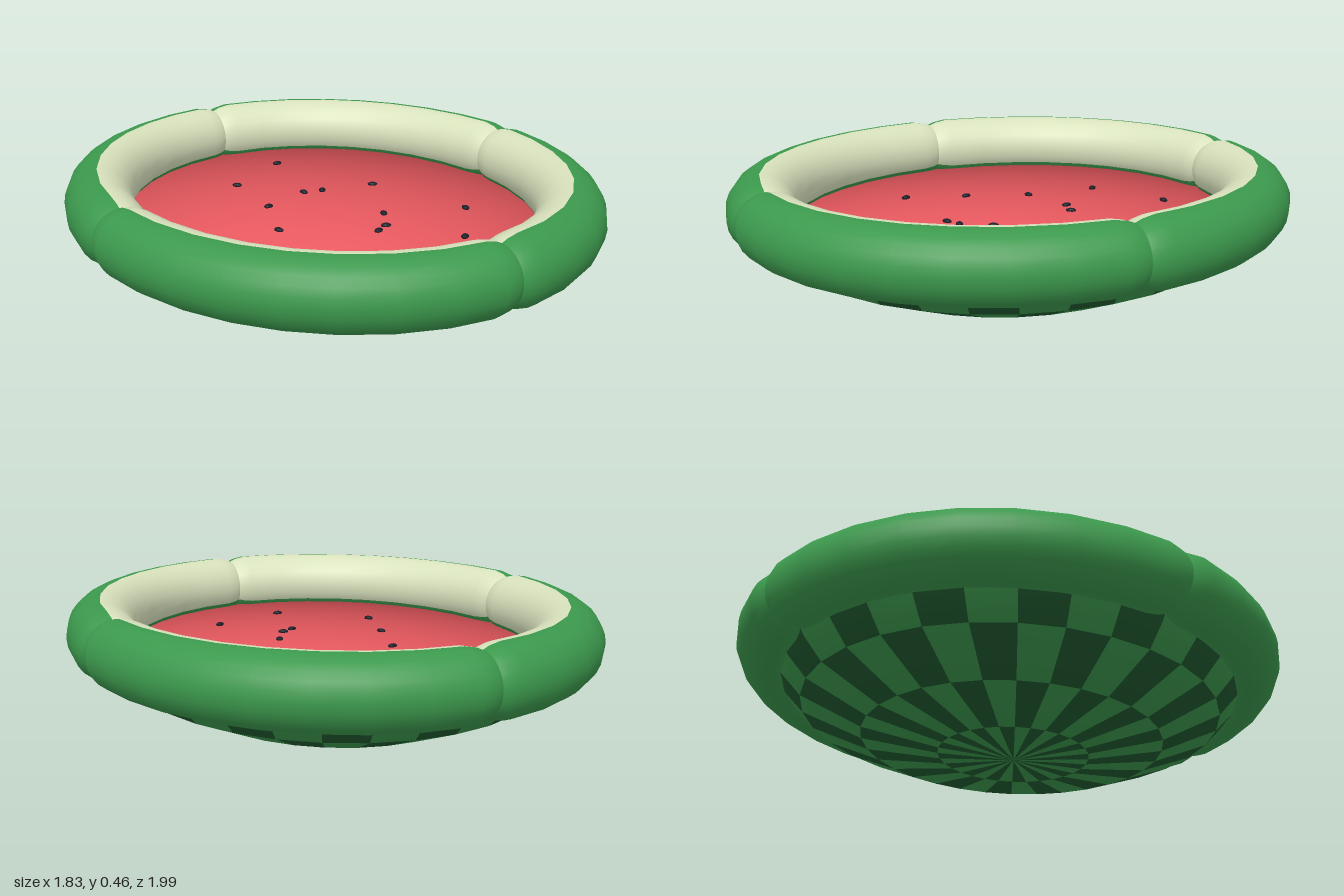
import * as THREE from 'three';

const mat = (name, color) => Object.assign(new THREE.MeshStandardMaterial({ color }), { name });

// Smooth grid surface; faceGroup(i, j) picks a material for each quad
function surface(cols, rows, wrapRows, point, faceGroup) {
  const pos = [], faces = [[], []];
  const stride = wrapRows ? rows : rows + 1;
  for (let i = 0; i <= cols; i++)
    for (let j = 0; j < stride; j++) pos.push(...point(i, j));
  for (let i = 0; i < cols; i++)
    for (let j = 0; j < rows; j++) {
      const k = (j + 1) % stride;
      const a = i * stride + j, b = i * stride + k, c = a + stride, d = b + stride;
      faces[faceGroup(i, j)].push(a, b, c, b, d, c);
    }
  const g = new THREE.BufferGeometry();
  g.setAttribute('position', new THREE.Float32BufferAttribute(pos, 3));
  g.setIndex([...faces[0], ...faces[1]]);
  g.addGroup(0, faces[0].length, 0);
  g.addGroup(faces[0].length, faces[1].length, 1);
  g.computeVertexNormals();
  return g;
}

export function createModel() {
  const root = new THREE.Group();
  root.name = 'melonPool';
  const green = mat('rind green', 0x3c994d);
  const dark = mat('stripe green', 0x20592f);
  const cream = mat('pale rind', 0xd9e2bd);
  const red = mat('melon red', 0xe8595f);
  const black = mat('seed black', 0x1c1e28);

  const add = (name, geometry, material) => {
    const m = new THREE.Mesh(geometry, material);
    m.name = name;
    root.add(m);
    return m;
  };

  // Inflated rim: four tube sections, pinched where they meet
  const RX = 0.798, RZ = 0.883, RY = 0.3375, R = 0.1175, SIDES = 24;
  const steps = [0, 1.5, 4.5, 14, 24.5, 35, 45, 55, 65.5, 76, 85.5, 88.5, 90];
  const pinch = (k) => [0.85, 0.93][Math.min(k, steps.length - 1 - k)] ?? 1;
  for (let q = 0; q < 4; q++) {
    const tube = surface(steps.length - 1, SIDES, true, (i, j) => {
      const t = THREE.MathUtils.degToRad(steps[i] + q * 90);
      const phi = (j / SIDES) * Math.PI * 2 - Math.PI / 6;
      const n = new THREE.Vector2(Math.sin(t) / RX, Math.cos(t) / RZ).normalize();
      const r = R * pinch(i), inward = r * Math.cos(phi);
      return [RX * Math.sin(t) - n.x * inward, RY + r * Math.sin(phi), RZ * Math.cos(t) - n.y * inward];
    }, (i, j) => (j < 8 ? 1 : 0)); // the inner third is pale
    add('rimSection' + (q + 1), tube, [green, cream]);
  }

  // Rounded rind underneath with stepped stripes
  const profile = [[0.79, 0.28], [0.755, 0.22], [0.695, 0.15], [0.5, 0.06], [0.25, 0.016], [0, 0]];
  const shift = [0, 0, 1, 0, 1];
  const SEG = 32;
  const bowl = surface(SEG, profile.length - 1, false, (i, j) => {
    const t = (i / SEG) * Math.PI * 2, [r, y] = profile[j];
    return [r * Math.sin(t), y, r * 1.107 * Math.cos(t)];
  }, (i, j) => (i + shift[j]) % 2);
  add('rindBowl', bowl, [green, dark]);

  // Flesh: a rounded cap pressed nearly flat, keeping its soft domed normals
  const flesh = new THREE.SphereGeometry(1, 48, 12, 0, Math.PI * 2, 0, 0.96);
  const p = flesh.attributes.position;
  for (let i = 0; i < p.count; i++)
    p.setXYZ(i, p.getX(i) * 0.93, 0.258 + p.getY(i) * 0.008, p.getZ(i) * 1.03);
  add('flesh', flesh, red);

  // Seeds scattered over the flesh
  const seeds = [
    [0.12, -0.57], [-0.15, -0.42], [0.02, -0.21], [0.09, -0.19], [-0.17, -0.15],
    [0.29, -0.14], [-0.26, 0.07], [0.135, 0.14], [0.02, 0.265], [0.07, 0.24],
    [-0.335, 0.285], [0.415, 0.26], [0.23, 0.47], [-0.06, 0.55],
  ];
  const seedGeo = new THREE.SphereGeometry(1, 10, 6).scale(0.019, 0.008, 0.013);
  seeds.forEach(([x, z], i) => {
    const s = add('seed' + (i + 1), seedGeo, black);
    s.position.set(x, 0.269, z);
    s.rotation.y = i * 2.4;
  });
  return root;
}
